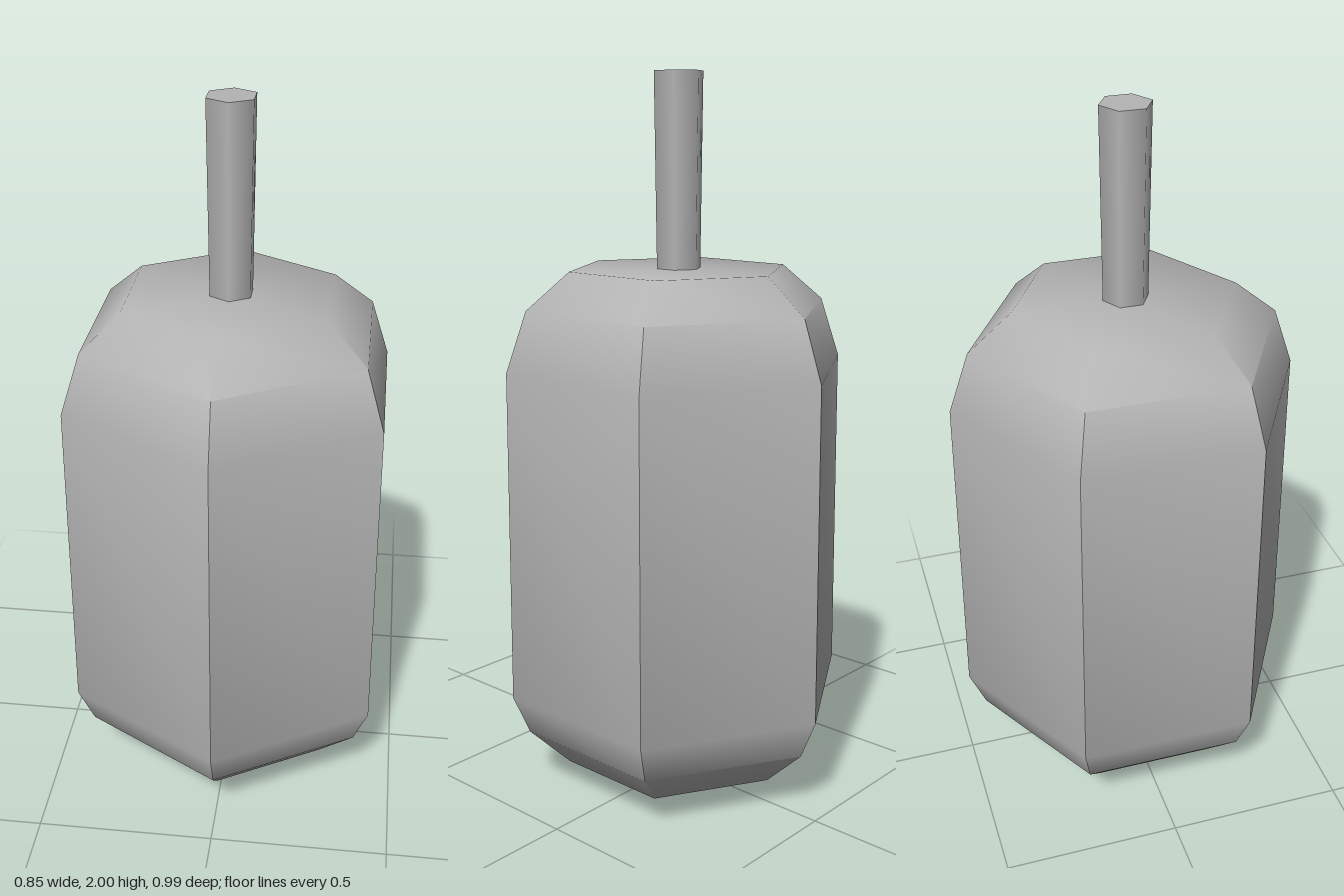
import * as THREE from 'three';
import { toCreasedNormals } from 'three/addons/utils/BufferGeometryUtils.js';

export function createModel() {
  const model = new THREE.Group();
  const grey = new THREE.MeshStandardMaterial({ color: 0xb4b4b4 });
  grey.name = 'plain grey';

  const add = (name, geometry, y = 0) => {
    const mesh = new THREE.Mesh(geometry, grey);
    mesh.name = name;
    mesh.position.y = y;
    model.add(mesh);
    return mesh;
  };

  // Six-sided body: bevels blend smoothly into the caps, upright corners stay sharp
  const profile = [
    [0, 0.065], [0.333, 0.065], [0.447, 0.175], [0.493, 0.285],
    [0.485, 1.215], [0.428, 1.38], [0.308, 1.48], [0, 1.48],
  ].map(([r, y]) => new THREE.Vector2(r, y));
  const body = new THREE.LatheGeometry(profile, 6);
  add('body', toCreasedNormals(body, THREE.MathUtils.degToRad(50)));

  // Slim stem, a touch wider at the top
  add('stem', new THREE.CylinderGeometry(0.069, 0.062, 0.54, 6), 1.73);

  // Short eight-sided plug under the body
  const plug = add('bottomPlug', new THREE.CylinderGeometry(0.16, 0.158, 0.08, 8), 0.04);
  plug.rotation.y = Math.PI / 8;

  return model;
}
